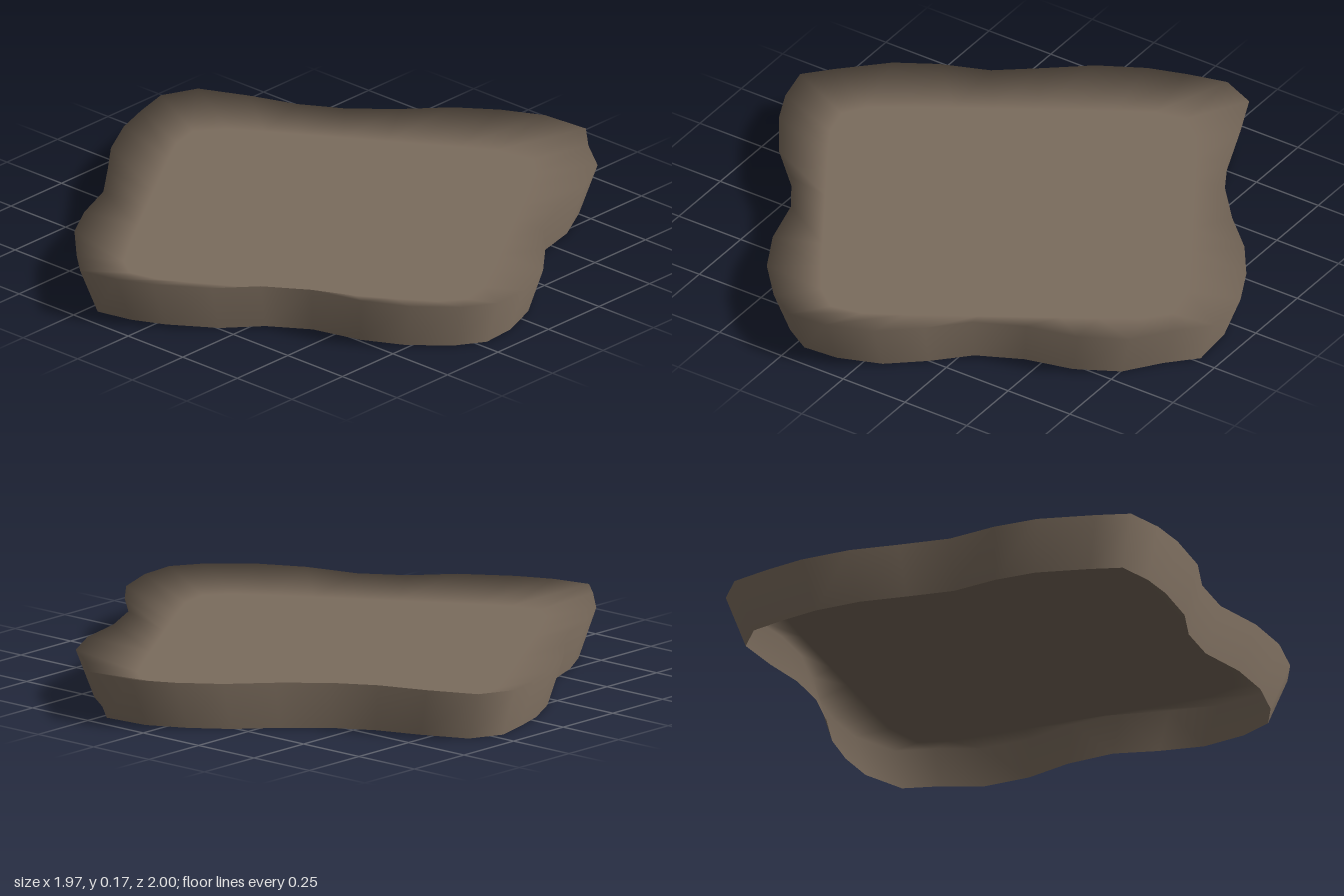
import * as THREE from 'three';

const HEIGHT = 0.17;
const FLOOR_Y = 0.11;
const BASE_SCALE = 0.93; // the wall flares outward towards the top
const FLOOR_HALF = 0.62; // half side of the sunken square floor
const FLOOR_TURN = THREE.MathUtils.degToRad(58);

// Wavy outline of the upper rim as x, z pairs
const RIM = [
  [0.245, -1], [0.345, -0.905], [0.475, -0.81], [0.56, -0.655], [0.605, -0.475], [0.685, -0.31],
  [0.805, -0.195], [0.915, -0.065], [0.975, 0.095], [0.985, 0.23], [0.92, 0.335], [0.79, 0.45],
  [0.635, 0.53], [0.45, 0.58], [0.305, 0.675], [0.195, 0.8], [0.03, 0.91], [-0.09, 0.965],
  [-0.225, 0.995], [-0.315, 0.915], [-0.455, 0.775], [-0.535, 0.64], [-0.6, 0.475], [-0.71, 0.335],
  [-0.82, 0.2], [-0.905, 0.045], [-0.95, -0.09], [-0.985, -0.225], [-0.93, -0.35], [-0.765, -0.425],
  [-0.6, -0.485], [-0.455, -0.57], [-0.32, -0.69], [-0.2, -0.82], [-0.07, -0.915], [0.07, -0.985],
];
const N = RIM.length;
const BASE = RIM.map(([x, z]) => [x * BASE_SCALE, z * BASE_SCALE]);

// Slightly rounded, turned square, sampled in the same directions as the rim
const FLOOR = RIM.map(([x, z]) => {
  const angle = Math.atan2(z, x);
  const c = Math.abs(Math.cos(angle - FLOOR_TURN)), s = Math.abs(Math.sin(angle - FLOOR_TURN));
  const radius = FLOOR_HALF / Math.pow(c ** 10 + s ** 10, 0.1);
  return [radius * Math.cos(angle), radius * Math.sin(angle)];
});

// Horizontal outward direction at a rim point
function outward(i) {
  const a = RIM[(i + N - 1) % N], b = RIM[(i + 1) % N];
  return new THREE.Vector3(b[1] - a[1], 0, a[0] - b[0]).normalize();
}

// Joins rings of points; each ring's normals mix outward and up
function loft(rings) {
  const positions = [], normals = [], index = [];
  for (const { points, y, out, up } of rings) {
    points.forEach(([x, z], i) => {
      positions.push(x, y, z);
      const n = outward(i).multiplyScalar(out);
      n.y = up;
      normals.push(...n.normalize().toArray());
    });
  }
  for (let r = 0; r < rings.length - 1; r++) {
    for (let i = 0; i < N; i++) {
      const j = (i + 1) % N, lo = r * N, hi = lo + N;
      index.push(lo + j, lo + i, hi + i, lo + j, hi + i, hi + j);
    }
  }
  const geometry = new THREE.BufferGeometry();
  geometry.setAttribute('position', new THREE.Float32BufferAttribute(positions, 3));
  geometry.setAttribute('normal', new THREE.Float32BufferAttribute(normals, 3));
  geometry.setIndex(index);
  return geometry;
}

export function createModel() {
  const group = new THREE.Group();
  group.name = 'wavyTray';
  const brown = new THREE.MeshStandardMaterial({ color: 0x7b6c5d, side: THREE.DoubleSide });
  brown.name = 'earth brown';

  // Thin flared wall, open below, folding over the rim down to the floor
  const shell = new THREE.Mesh(loft([
    { points: BASE, y: 0, out: 1, up: 0 },
    { points: RIM, y: HEIGHT, out: 1, up: 0.1 },
    { points: FLOOR, y: FLOOR_Y, out: 0, up: 1 },
  ]), brown);
  shell.name = 'wallAndRim';

  // Flat sunken floor
  const outline = new THREE.Shape(FLOOR.map(([x, z]) => new THREE.Vector2(x, -z)));
  const floor = new THREE.Mesh(new THREE.ShapeGeometry(outline).rotateX(-Math.PI / 2), brown);
  floor.name = 'floor';
  floor.position.y = FLOOR_Y;

  group.add(shell, floor);
  return group;
}
